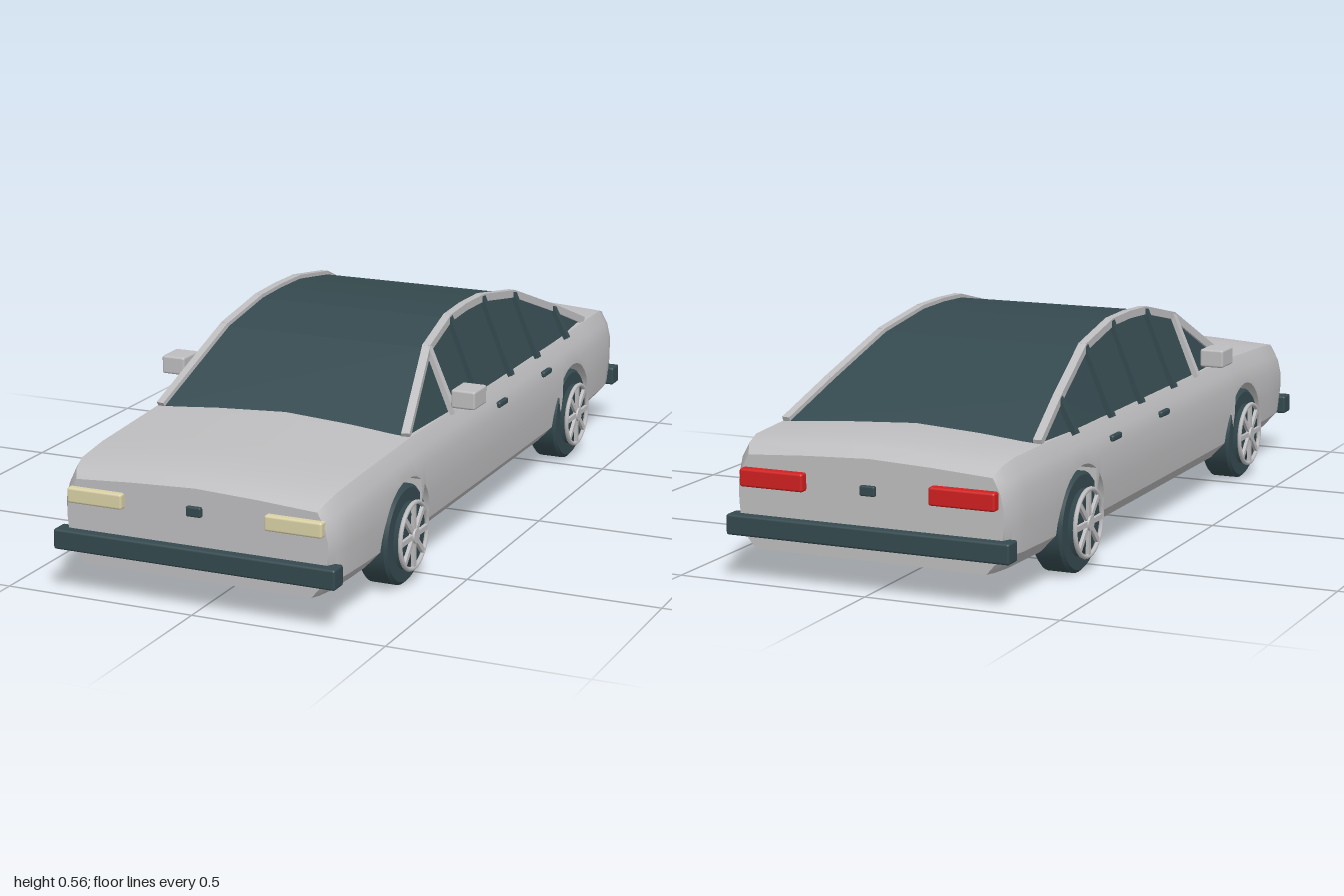
import * as THREE from 'three';
import { toCreasedNormals } from 'three/addons/utils/BufferGeometryUtils.js';
import { RoundedBoxGeometry } from 'three/addons/geometries/RoundedBoxGeometry.js';

const mat = (name, color) => new THREE.MeshStandardMaterial({ name, color });

// Skin closed cross-sections (front to back, each counter-clockwise from the front) and cap both ends
function loft(sections, crease) {
  const pos = [];
  const tri = (...p) => p.forEach(v => pos.push(...v));
  const n = sections[0].length;
  for (let j = 0; j < sections.length - 1; j++) {
    const s = sections[j], t = sections[j + 1];
    for (let i = 0; i < n; i++) {
      const k = (i + 1) % n;
      tri(s[i], t[i], s[k]);
      tri(s[k], t[i], t[k]);
    }
  }
  const first = sections[0], last = sections[sections.length - 1];
  const mid = s => [0, s.reduce((a, p) => a + p[1], 0) / n, s[0][2]];
  for (let i = 0; i < n; i++) {
    const k = (i + 1) % n;
    tri(mid(first), first[i], first[k]);
    tri(mid(last), last[k], last[i]);
  }
  const g = new THREE.BufferGeometry();
  g.setAttribute('position', new THREE.Float32BufferAttribute(pos, 3));
  return toCreasedNormals(g, crease);
}

// Piecewise-linear lookup of column c in rows sorted by descending z
function lookup(rows, z, c) {
  for (let i = 0; i < rows.length - 1; i++) {
    const a = rows[i], b = rows[i + 1];
    if (z <= a[0] && z >= b[0]) return THREE.MathUtils.mapLinear(z, a[0], b[0], a[c], b[c]);
  }
  return rows[z > 0 ? 0 : rows.length - 1][c];
}

const WHEEL_Z = [0.585, -0.58], WHEEL_Y = 0.13, ARCH_R = 0.143, FLOOR = 0.085;
// z, shoulder height, half width
const BODY = [
  [0.975, 0.295, 0.345], [0.955, 0.312, 0.357], [0.91, 0.328, 0.368], [0.8, 0.338, 0.374],
  [0.5, 0.352, 0.379], [0.1, 0.352, 0.38], [-0.5, 0.352, 0.38], [-0.76, 0.354, 0.377],
  [-0.9, 0.35, 0.37], [-0.95, 0.338, 0.36], [-0.975, 0.315, 0.348],
];

function bodySection(z, floor) {
  const top = lookup(BODY, z, 1), k = lookup(BODY, z, 2) / 0.38;
  const side = [[0.332, FLOOR], [0.372, 0.128], [0.38, 0.2], [0.38, top - 0.075],
    [0.37, top - 0.035], [0.35, top]];
  const xAt = y => {
    for (let i = 0; i < side.length - 1; i++) {
      const [x0, y0] = side[i], [x1, y1] = side[i + 1];
      if (y <= y1) return THREE.MathUtils.mapLinear(y, y0, y1, x0, x1);
    }
    return side[5][0];
  };
  const half = side.map(([x, y]) => (y < floor ? [xAt(floor), floor] : [x, y]));
  half.push([0.18, top + 0.01]);
  return [[0, floor], ...half, [0, top + 0.017], ...half.slice().reverse().map(([x, y]) => [-x, y])]
    .map(([x, y]) => [x * k, y, z]);
}

function bodyGeometry() {
  const stations = BODY.map(r => [r[0], FLOOR]);
  // Wheel arches run right across the underside
  for (const wz of WHEEL_Z) {
    for (let i = 0; i <= 16; i++) {
      const a = (i / 16) * Math.PI;
      stations.push([wz + ARCH_R * Math.cos(a), WHEEL_Y + ARCH_R * Math.sin(a)]);
    }
    stations.push([wz + ARCH_R + 1e-5, FLOOR], [wz - ARCH_R - 1e-5, FLOOR]);
  }
  stations.sort((a, b) => b[0] - a[0]);
  return loft(stations.map(([z, f]) => bodySection(z, f)), 0.6);
}

// Roof line: z, height
const ROOF = [[0.505, 0.355], [0.25, 0.508], [0.08, 0.547], [-0.03, 0.552], [-0.15, 0.55],
  [-0.35, 0.518], [-0.58, 0.43], [-0.755, 0.357]];
const railX = y => 0.337 - (y - 0.355) * 0.35;

export function createModel() {
  const car = new THREE.Group();
  car.name = 'sedan';
  const silver = mat('silver paint', 0xbdbdbf);
  const dark = mat('dark slate', 0x34494e);
  const cream = mat('headlight cream', 0xd9d0a5);
  const red = mat('tail light red', 0xd02020);

  const add = (name, geo, material, x = 0, y = 0, z = 0, parent = car) => {
    const m = new THREE.Mesh(geo, material);
    m.name = name;
    m.position.set(x, y, z);
    parent.add(m);
    return m;
  };
  const block = (name, material, w, h, d, x, y, z, r = 0.006) =>
    add(name, new RoundedBoxGeometry(w, h, d, 2, r), material, x, y, z);
  const strut = (name, material, a, b, w, h) => {
    const p = new THREE.Vector3(...a), q = new THREE.Vector3(...b);
    const m = add(name, new THREE.BoxGeometry(w, h, p.distanceTo(q) + 0.006), material);
    m.position.copy(p).add(q).multiplyScalar(0.5);
    m.lookAt(q);
  };

  add('body', bodyGeometry(), silver);

  // Glasshouse and roof
  const cabin = ROOF.map(([z, y]) => {
    const xb = y < 0.36 ? 0.342 : 0.355, xr = railX(y);
    return [[-xb, 0.335, z], [xb, 0.335, z], [xr, y, z], [-xr, y, z]];
  });
  add('cabinGlass', loft(cabin, 0.02), dark);

  for (const s of [1, -1]) {
    // Roof rails and window pillars
    for (let i = 0; i < ROOF.length - 1; i++) {
      const [z0, y0] = ROOF[i], [z1, y1] = ROOF[i + 1];
      strut('roofRail', silver, [s * railX(y0), y0, z0], [s * railX(y1), y1, z1], 0.021, 0.02);
    }
    for (const z of [0.25, 0.08, -0.15, -0.35, -0.58]) {
      const y = lookup(ROOF, z, 1), front = z === 0.25;
      strut(front ? 'frontPillar' : 'windowPillar', front ? silver : dark,
        [s * 0.357, 0.348, z], [s * (railX(y) + 0.004), y, z], 0.02, 0.016);
    }
    // Mirrors, handles and lamps
    block('mirror', silver, 0.065, 0.048, 0.082, s * 0.407, 0.402, 0.27);
    for (const z of [-0.04, -0.37])
      block('doorHandle', dark, 0.014, 0.016, 0.058, s * 0.377, 0.302, z, 0.005);
    block('headlight', cream, 0.148, 0.039, 0.03, s * 0.262, 0.257, 0.977);
    block('tailLight', red, 0.17, 0.045, 0.03, s * 0.25, 0.262, -0.982);
  }

  // Bumpers and plain centre plates
  for (const s of [1, -1]) {
    block('bumper', dark, 0.745, 0.051, 0.05, 0, 0.144, s * 0.975);
    block('centrePlate', dark, 0.04, 0.025, 0.016, 0, 0.256, s * 0.977, 0.004);
  }

  // Wheels, built with the axle along +x
  const tyreProfile = [[0, -0.04], [0.117, -0.04], [0.125, -0.032], [0.125, 0.032], [0.117, 0.04], [0, 0.04]];
  const tyreGeo = toCreasedNormals(
    new THREE.LatheGeometry(tyreProfile.map(p => new THREE.Vector2(...p)), 40).rotateZ(-Math.PI / 2), 0.5);
  const dishGeo = new THREE.CylinderGeometry(0.06, 0.088, 0.016, 32).rotateZ(-Math.PI / 2);
  const ringGeo = new THREE.TorusGeometry(0.083, 0.006, 8, 40).rotateY(Math.PI / 2);
  const hubGeo = new THREE.CylinderGeometry(0.018, 0.022, 0.018, 16).rotateZ(-Math.PI / 2);
  const spokeGeo = new THREE.BoxGeometry(0.009, 0.068, 0.013).translate(0, 0.047, 0);
  for (const s of [1, -1]) for (const z of WHEEL_Z) {
    const wheel = new THREE.Group();
    wheel.name = 'wheel';
    wheel.position.set(s * 0.335, WHEEL_Y, z);
    wheel.rotation.y = s > 0 ? 0 : Math.PI;
    car.add(wheel);
    add('tyre', tyreGeo, dark, 0, 0, 0, wheel);
    add('wheelDish', dishGeo, dark, 0.046, 0, 0, wheel);
    add('rimRing', ringGeo, silver, 0.058, 0, 0, wheel);
    add('hub', hubGeo, silver, 0.058, 0, 0, wheel);
    for (let i = 0; i < 8; i++)
      add('spoke', spokeGeo, silver, 0.058, 0, 0, wheel).rotation.x = (i / 8) * Math.PI * 2;
  }
  return car;
}
